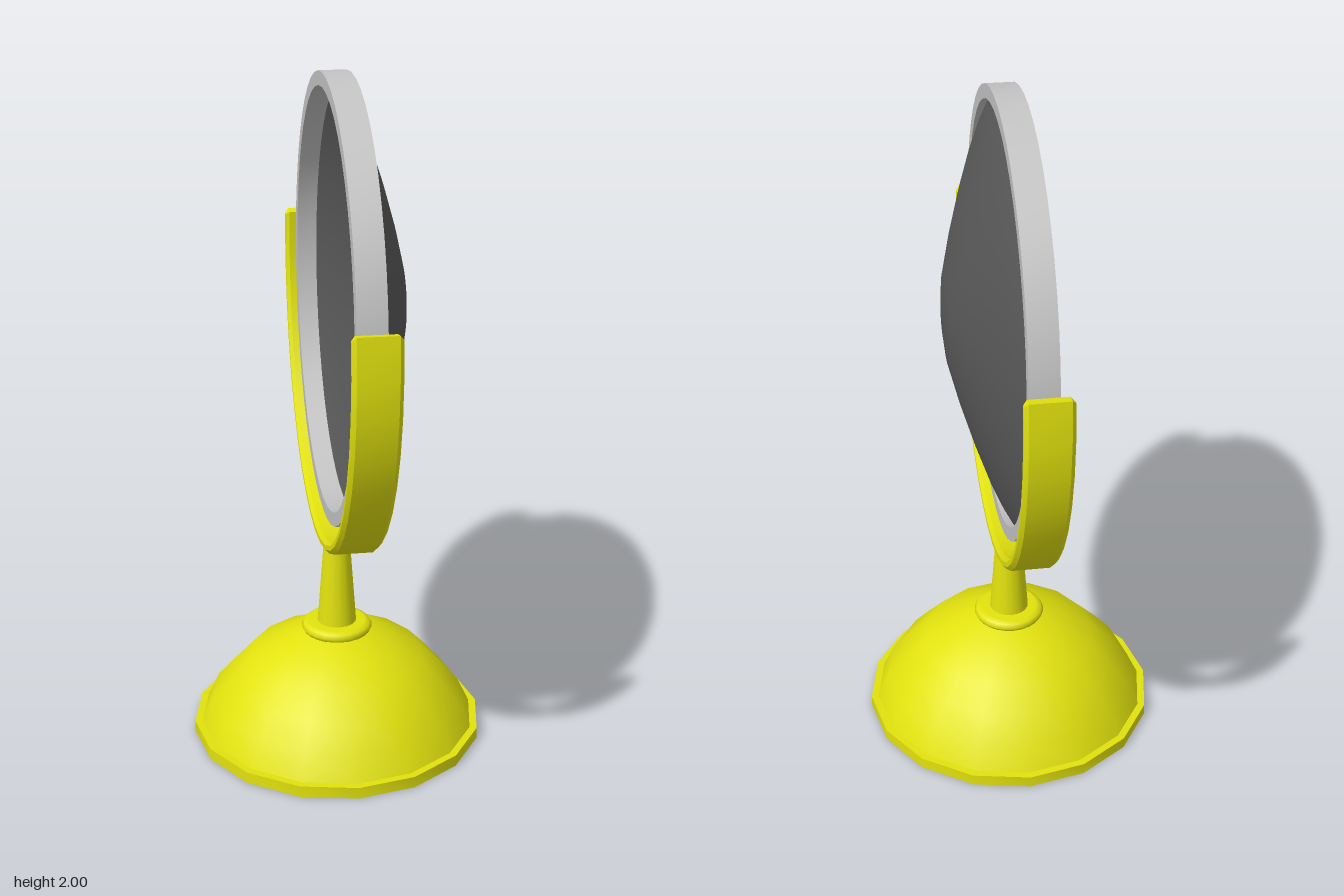
import * as THREE from 'three';
import { toCreasedNormals } from 'three/addons/utils/BufferGeometryUtils.js';

const yellow = new THREE.MeshStandardMaterial({ color: 0xe2e20e });
yellow.name = 'yellow enamel';
const silver = new THREE.MeshStandardMaterial({ color: 0xc4c4c4 });
silver.name = 'silver';
const glass = new THREE.MeshStandardMaterial({ color: 0x585858, side: THREE.DoubleSide });
glass.name = 'dark mirror';

const CENTRE_Y = 1.358; // height of the tilt axis

const lathe = (profile, sides) =>
  new THREE.LatheGeometry(profile.map(([r, y]) => new THREE.Vector2(r, y)), sides);

export function createModel() {
  const model = new THREE.Group();
  model.name = 'tableMirror';

  const add = (name, geometry, material, parent = model) => {
    const mesh = new THREE.Mesh(geometry, material);
    mesh.name = name;
    parent.add(mesh);
    return mesh;
  };

  // Hollow domed foot with a flat lip
  add('base', toCreasedNormals(lathe([
    [0, 0.3], [0.1, 0.3], [0.25, 0.225], [0.365, 0.1], [0.41, 0],
    [0.44, 0], [0.44, 0.035], [0.418, 0.035],
    [0.382, 0.112], [0.325, 0.178], [0.262, 0.245], [0.18, 0.288], [0.1, 0.325], [0, 0.33],
  ], 16), 0.6), yellow);

  // Rounded collar and tapered stem
  add('collar', lathe([
    [0.085, 0.315], [0.1, 0.322], [0.107, 0.335], [0.1, 0.347], [0.085, 0.353], [0, 0.353],
  ], 24), yellow);
  add('stem', new THREE.CylinderGeometry(0.036, 0.06, 0.32, 16).translate(0, 0.5, 0), yellow);

  // Curved yoke: a bevelled half-ring, reaching a little above the tilt axis
  const rise = 0.155;
  const arc = new THREE.Shape();
  arc.absellipse(0, 0, 0.698, 0.718, Math.PI - rise, 2 * Math.PI + rise, false);
  arc.absellipse(0, 0, 0.664, 0.682, 2 * Math.PI + rise, Math.PI - rise, true);
  const bevel = 0.011;
  const yokeGeometry = new THREE.ExtrudeGeometry(arc, {
    depth: 0.13 - 2 * bevel, curveSegments: 11,
    bevelEnabled: true, bevelThickness: bevel, bevelSize: bevel, bevelOffset: -bevel, bevelSegments: 1,
  });
  yokeGeometry.translate(0, 0, -0.065 + bevel).rotateY(Math.PI / 2);
  add('yoke', toCreasedNormals(yokeGeometry, 0.6), yellow).position.y = CENTRE_Y;

  // Pivot pins
  for (const side of [1, -1]) {
    const pin = new THREE.CylinderGeometry(0.011, 0.011, 0.08, 12).rotateX(Math.PI / 2);
    add(side > 0 ? 'frontPin' : 'backPin', pin, yellow).position.set(0, CENTRE_Y, side * 0.638);
  }

  // Slightly oval mirror head, turned around the x axis
  const head = new THREE.Group();
  head.name = 'mirrorHead';
  head.position.y = CENTRE_Y;
  model.add(head);
  const turned = (profile) =>
    lathe(profile, 48).rotateZ(-Math.PI / 2).scale(1, 1, 0.95);

  add('frame', toCreasedNormals(turned([
    [0.602, -0.04], [0.642, -0.04], [0.642, 0.04], [0.602, 0.04], [0.602, -0.04],
  ]), 0.6), silver, head);

  // Bowed mirror, hollow on one side and domed on the other
  add('mirror', turned([
    [0.602, 0.02], [0.56, 0.042], [0.49, 0.071], [0.38, 0.109],
    [0.257, 0.146], [0.135, 0.177], [0.06, 0.186], [0, 0.188],
  ]), glass, head);

  return model;
}
